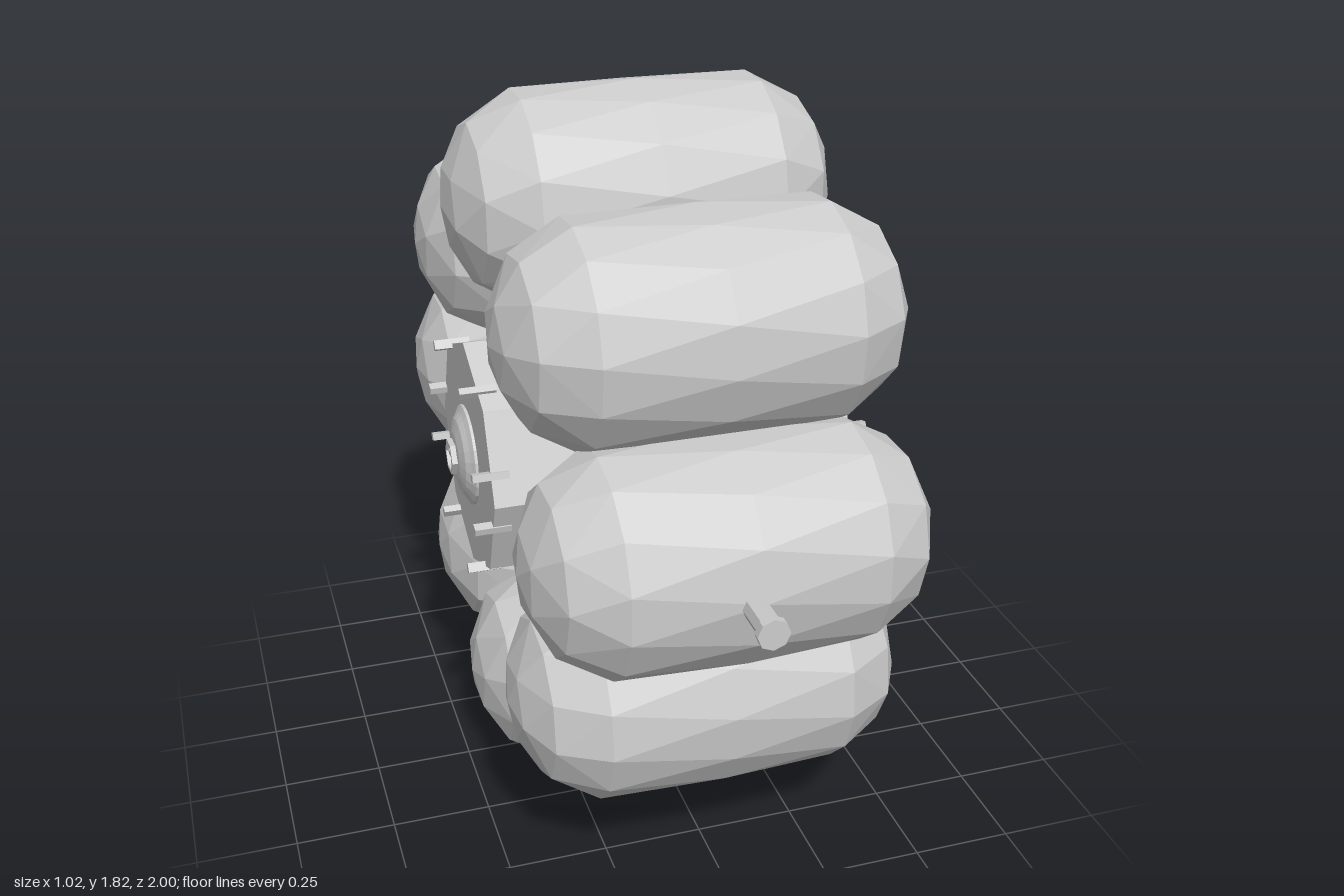
import * as THREE from 'three';
import { ConvexGeometry } from 'three/addons/geometries/ConvexGeometry.js';

const HUB_Y = 0.92;
const material = new THREE.MeshStandardMaterial({ color: 0xcccccc, flatShading: true });

function add(parent, name, geometry, x = 0, y = 0, z = 0) {
  const mesh = new THREE.Mesh(geometry, material);
  mesh.name = name;
  mesh.position.set(x, y, z);
  parent.add(mesh);
  return mesh;
}

// Faceted pod lying along x: staggered rings wrapped in a convex skin
function podGeometry() {
  const rings = [ // x, radius, sides, twist in half steps
    [0, 0.276, 14, 0], [0.3, 0.268, 14, 1], [0.42, 0.2, 10, 0], [0.475, 0.1, 5, 1],
  ];
  const points = [];
  for (const side of [-1, 1]) {
    points.push(new THREE.Vector3(side * 0.49, 0, 0));
    for (const [x, r, n, twist] of rings) {
      if (x === 0 && side < 0) continue;
      for (let i = 0; i < n; i++) {
        const a = ((i + twist / 2) / n) * Math.PI * 2;
        points.push(new THREE.Vector3(side * x, r * Math.cos(a), r * Math.sin(a)));
      }
    }
  }
  return new ConvexGeometry(points);
}

// End cap fittings, built facing +x
function hubEnd(side) {
  const end = new THREE.Group();
  end.name = side > 0 ? 'leftHubEnd' : 'rightHubEnd';
  const profile = [[0.128, 0], [0.128, 0.012], [0.112, 0.02], [0.095, 0.031], [0.06, 0.04], [0, 0.044]]
    .map(([r, h]) => new THREE.Vector2(r, h));
  const dome = add(end, 'domedCap', new THREE.LatheGeometry(profile, 24), 0.455);
  dome.rotation.z = -Math.PI / 2;

  // Hexagonal collar with a cross-shaped driver bit inside
  const hex = new THREE.Shape();
  const hole = new THREE.Path();
  for (let i = 0; i < 6; i++) {
    const a = (i / 6) * Math.PI * 2;
    const method = i ? 'lineTo' : 'moveTo';
    hex[method](0.046 * Math.cos(a), 0.046 * Math.sin(a));
    hole[method](0.036 * Math.cos(-a), 0.036 * Math.sin(-a));
  }
  hex.holes.push(hole);
  const collar = add(end, 'hexCollar', new THREE.ExtrudeGeometry(hex, { depth: 0.022, bevelEnabled: false }), 0.488);
  collar.rotation.y = Math.PI / 2;
  add(end, 'crossBar', new THREE.BoxGeometry(0.014, 0.066, 0.012), 0.497);
  add(end, 'crossBar', new THREE.BoxGeometry(0.014, 0.012, 0.066), 0.497);

  // Small pins standing around the rim
  for (const sy of [-1, 1]) for (const sz of [-1, 1]) {
    for (const [y, z] of [[0.07, 0.268], [0.24, 0.155]]) {
      const pin = add(end, 'rimPin', new THREE.BoxGeometry(0.09, 0.018, 0.024), 0.46, sy * y, sz * z);
      pin.rotation.x = -Math.atan2(sy * y, sz * z);
    }
  }
  if (side < 0) end.rotation.y = Math.PI;
  end.position.y = HUB_Y;
  return end;
}

export function createModel() {
  const model = new THREE.Group();
  model.name = 'podWheel';

  // Ring of pods: z, y of each centre
  const pods = [[-0.075, 1.552], [0.41, 1.385], [0.615, 0.915], [0.465, 0.48],
    [0.015, 0.281], [-0.4, 0.44], [-0.615, 0.905], [-0.505, 1.315]];
  const pod = podGeometry();
  pods.forEach(([z, y], i) => {
    const mesh = add(model, 'pod', pod, 0.008, y, z);
    mesh.rotation.x = i * Math.PI / 4;
  });

  // Octagonal hub
  const hub = add(model, 'hub', new THREE.CylinderGeometry(0.305, 0.305, 0.92, 8), 0, HUB_Y, 0);
  hub.rotation.z = Math.PI / 2;
  model.add(hubEnd(1), hubEnd(-1));

  // Spokes; the two level ones pass through their pods and end in bolt heads
  for (let i = 0; i < 8; i++) {
    const spoke = new THREE.Group();
    spoke.name = 'spoke';
    const through = i % 4 === 2;
    const end = through ? 0.99 : 0.55;
    add(spoke, 'spokeRod', new THREE.CylinderGeometry(0.03, 0.03, end - 0.2, 8), 0, (end + 0.2) / 2, 0);
    add(spoke, 'spokeSocket', new THREE.CylinderGeometry(0.038, 0.038, 0.25, 8), 0, 0.345, 0);
    if (through) add(spoke, 'boltHead', new THREE.CylinderGeometry(0.038, 0.038, 0.02, 8), 0, 0.99, 0);
    spoke.position.set(-0.018, HUB_Y - 0.01, 0);
    spoke.rotation.x = i * Math.PI / 4;
    model.add(spoke);
  }
  return model;
}
